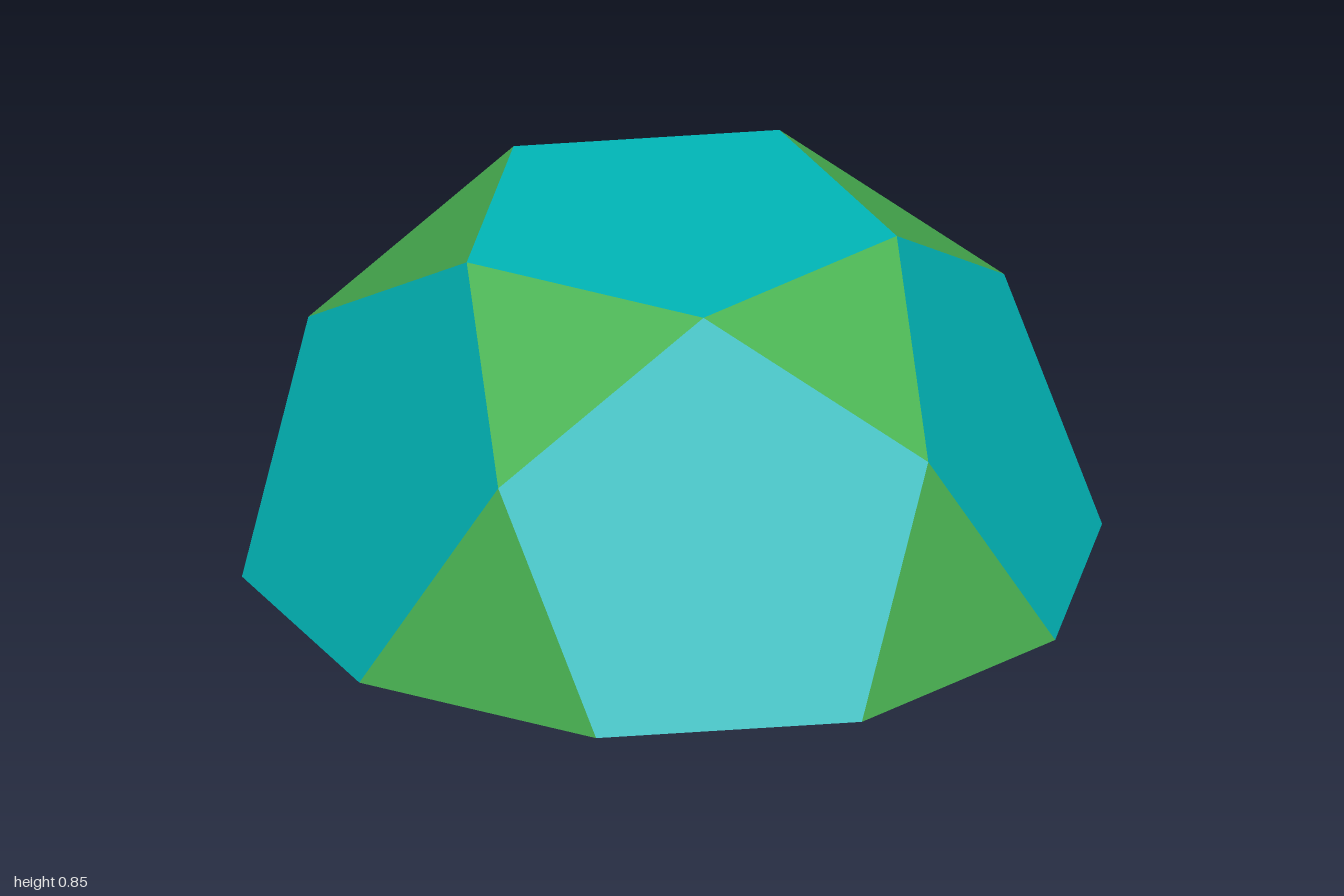
import * as THREE from 'three';

const PHI = (1 + Math.sqrt(5)) / 2;

// Flat convex polygon with corners listed counter-clockwise from outside
function polygon(corners) {
  const points = [];
  for (let i = 1; i < corners.length - 1; i++) points.push(corners[0], corners[i], corners[i + 1]);
  const geometry = new THREE.BufferGeometry().setFromPoints(points);
  geometry.computeVertexNormals();
  return geometry;
}

// Ring of corners at a given radius and height, addressed by angle in degrees
const ring = (radius, y) => (degrees) => {
  const a = THREE.MathUtils.degToRad(degrees);
  return new THREE.Vector3(radius * Math.cos(a), y, radius * Math.sin(a));
};

export function createModel() {
  const group = new THREE.Group();
  group.name = 'pentagonalRotunda';

  const material = (name, color) => {
    const m = new THREE.MeshStandardMaterial({ color });
    m.name = name;
    return m;
  };
  const teal = material('teal', 0x00b8ba);
  const green = material('green', 0x4ab453);
  const baseGreen = material('baseGreen', 0x41bc41);

  const add = (name, corners, mat) => {
    const mesh = new THREE.Mesh(polygon(corners), mat);
    mesh.name = name;
    group.add(mesh);
  };

  // Three rings of corners, all on the unit sphere
  const lowY = Math.sqrt((5 - Math.sqrt(5)) / 10);
  const highY = lowY * PHI;
  const base = ring(1, 0);
  const middle = ring(highY, lowY);
  const top = ring(lowY, highY);

  // Sides: five pentagons, with triangles above and below between them
  for (let k = 0; k < 5; k++) {
    const a = 72 * k;
    add('sidePentagon' + k, [top(a), middle(a + 36), base(a + 18), base(a - 18), middle(a - 36)], teal);
    add('upperTriangle' + k, [top(a), top(a + 72), middle(a + 36)], green);
    add('lowerTriangle' + k, [middle(a + 36), base(a + 54), base(a + 18)], green);
  }

  // Top pentagon and the ten-sided base
  add('topPentagon', [0, 1, 2, 3, 4].map((i) => top(-72 * i)), teal);
  add('baseDecagon', Array.from({ length: 10 }, (_, i) => base(18 + 36 * i)), baseGreen);

  return group;
}
